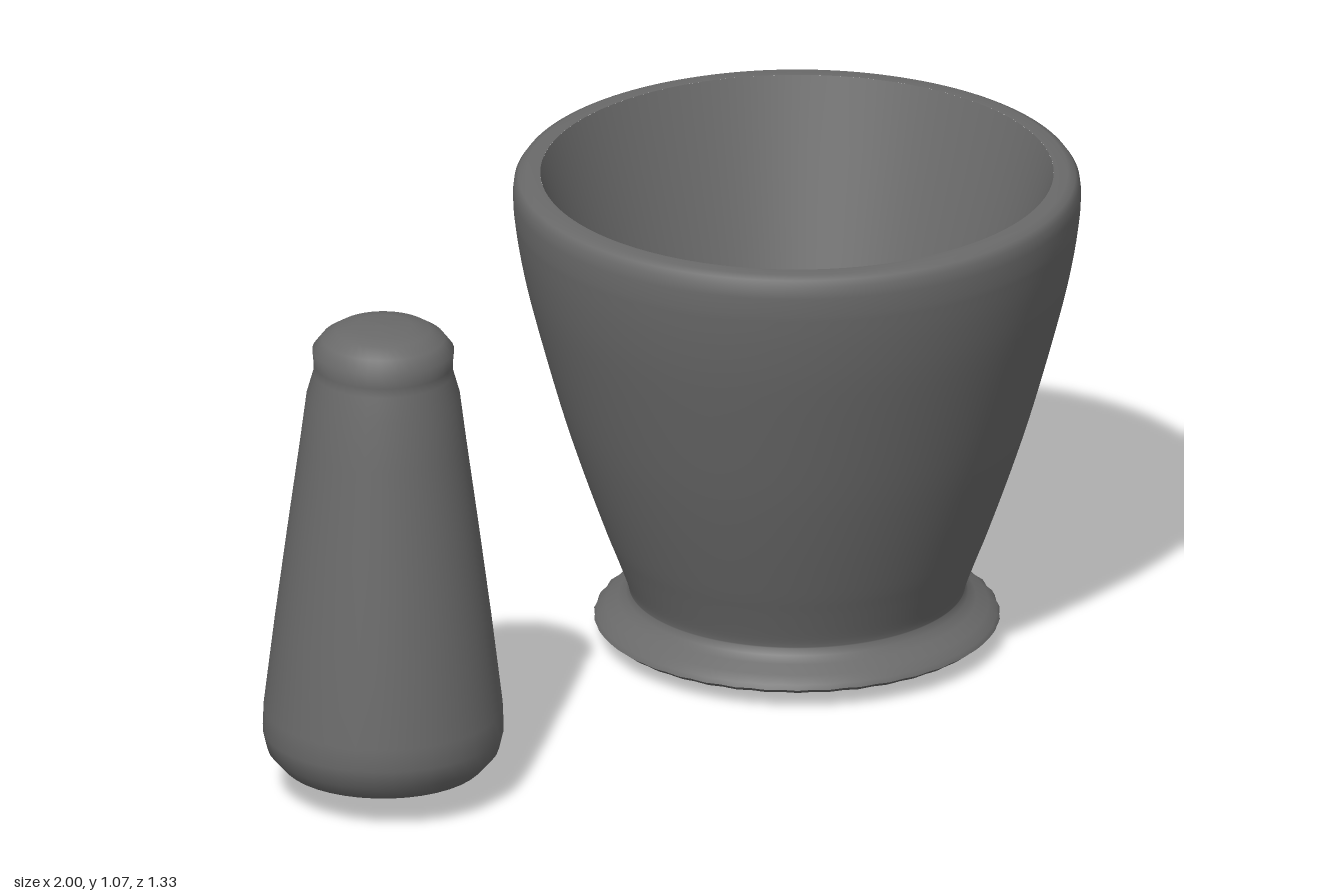
import * as THREE from 'three';

const material = new THREE.MeshStandardMaterial({ color: 0x6a6a6a });
const points = (pairs) => pairs.map(([r, y]) => new THREE.Vector2(r, y));

// Smooth profile through a few [radius, height] pairs
const smooth = (pairs, n) => new THREE.SplineCurve(points(pairs)).getPoints(n);

function turned(name, profile, segments) {
  const mesh = new THREE.Mesh(new THREE.LatheGeometry(profile, segments), material);
  mesh.name = name;
  return mesh;
}

// Fine ripple around the edge of the foot
function ripple(geometry) {
  const p = geometry.attributes.position;
  for (let i = 0; i < p.count; i++) {
    const x = p.getX(i), y = p.getY(i), z = p.getZ(i);
    if (y > 0.07 || Math.hypot(x, z) < 0.4) continue;
    const wave = Math.cos(40 * Math.atan2(z, x));
    const k = 1 + 0.003 * wave;
    p.setXYZ(i, x * k, y + 0.0015 * wave, z * k);
  }
}

function createMortar() {
  const mortar = new THREE.Group();
  mortar.name = 'mortar';

  // Flared foot, waist and outer wall up to the rounded rim
  const foot = points([[0.428, 0.048], [0.423, 0.058], [0.404, 0.073], [0.378, 0.087], [0.361, 0.1]]);
  const wall = smooth([[0.355, 0.114], [0.36, 0.135], [0.384, 0.2], [0.407, 0.26], [0.456, 0.4],
    [0.503, 0.55], [0.562, 0.77], [0.587, 0.89], [0.598, 0.97]], 32);
  const rim = points([[0.6, 1.01], [0.597, 1.035], [0.588, 1.048], [0.572, 1.055], [0.542, 1.055]]);
  const outside = turned('footAndOuterWall', [...foot, ...wall, ...rim], 160);

  // Conical hollow, from the rim down to the small floor
  const inside = turned('bowlInside', points([[0.542, 1.055], [0.491, 0.9], [0.424, 0.7],
    [0.358, 0.5], [0.292, 0.3], [0.25, 0.17], [0.236, 0.135], [0.218, 0.124], [0.19, 0.12], [0, 0.12]]), 96);

  // Slightly bulging underside
  const base = turned('base', points([[0, 0.002], [0.15, 0.005], [0.28, 0.014], [0.36, 0.025],
    [0.415, 0.038], [0.428, 0.048]]), 160);

  ripple(outside.geometry);
  ripple(base.geometry);
  mortar.add(outside, inside, base);
  mortar.position.set(0.4, 0, -0.066);
  return mortar;
}

function createPestle() {
  // Tapered grip with a blunt grinding end and a small flattened knob
  const pestle = turned('pestle', points([[0, 0.057], [0.17, 0.058], [0.215, 0.074], [0.245, 0.108],
    [0.255, 0.15], [0.253, 0.2], [0.229, 0.4], [0.203, 0.6], [0.176, 0.8], [0.162, 0.91],
    [0.148, 0.96], [0.147, 0.98], [0.15, 1.012], [0.13, 1.038], [0.1, 1.057], [0.06, 1.065], [0, 1.067]]), 40);
  pestle.position.set(-0.745, 0, 0.407);
  return pestle;
}

export function createModel() {
  const model = new THREE.Group();
  model.name = 'mortarAndPestle';
  model.add(createMortar(), createPestle());
  return model;
}
